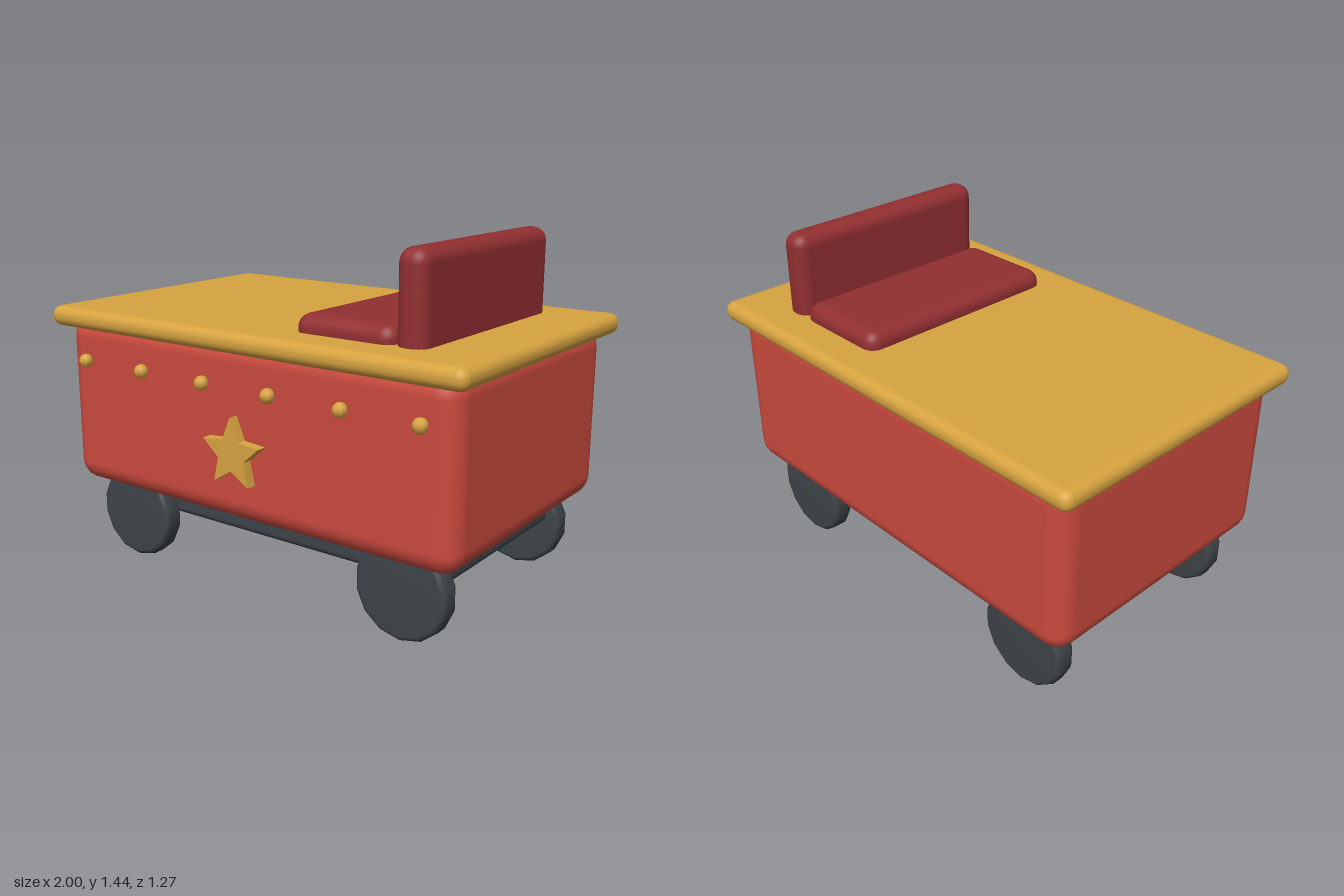
import * as THREE from 'three';
import { RoundedBoxGeometry } from 'three/addons/geometries/RoundedBoxGeometry.js';

function makeMaterial(name, color) {
  const m = new THREE.MeshStandardMaterial({ color });
  m.name = name;
  return m;
}

export function createModel() {
  const red = makeMaterial('red paint', 0xcb4a3e);
  const gold = makeMaterial('gold', 0xd7a340);
  const maroon = makeMaterial('maroon upholstery', 0x922f31);
  const dark = makeMaterial('dark metal', 0x3e4449);

  const model = new THREE.Group();
  model.name = 'wagon';

  const add = (name, geometry, material, x = 0, y = 0, z = 0) => {
    const mesh = new THREE.Mesh(geometry, material);
    mesh.name = name;
    mesh.position.set(x, y, z);
    model.add(mesh);
    return mesh;
  };

  // Rounded box given by its lower and upper limits; centred on z
  const addBox = (name, material, x0, x1, y0, y1, depth, radius, segments = 3) =>
    add(name, new RoundedBoxGeometry(x1 - x0, y1 - y0, depth, segments, radius), material,
      (x0 + x1) / 2, (y0 + y1) / 2, 0);

  // Undercarriage, body and deck
  addBox('chassis', dark, -0.82, 0.82, 0.215, 0.4, 0.86, 0.03);
  addBox('body', red, -0.95, 0.95, 0.325, 1.05, 1.18, 0.09);
  addBox('deck', gold, -1, 1, 1.005, 1.09, 1.27, 0.04);

  // Bench
  addBox('seatCushion', maroon, 0.18, 0.62, 1.04, 1.16, 0.95, 0.055);
  addBox('seatBack', maroon, 0.62, 0.745, 1.04, 1.435, 0.955, 0.055);

  // Wheels: fourteen-sided discs with softened rims
  const profile = [
    [0, -0.045], [0.178, -0.045], [0.192, -0.038], [0.2, -0.024],
    [0.2, 0.024], [0.192, 0.038], [0.178, 0.045], [0, 0.045],
  ].map(([r, h]) => new THREE.Vector2(r, h));
  const wheelGeometry = new THREE.LatheGeometry(profile, 14).rotateX(Math.PI / 2);
  for (const x of [-0.68, 0.68]) {
    for (const z of [-0.457, 0.457]) {
      add((z > 0 ? 'front' : 'back') + (x > 0 ? 'Left' : 'Right') + 'Wheel',
        wheelGeometry, dark, x, 0.2, z);
    }
  }

  // Row of studs along the front panel
  const studGeometry = new THREE.SphereGeometry(0.03, 8, 6);
  for (let i = 0; i < 6; i++) {
    add('stud' + (i + 1), studGeometry, gold, -0.82 + i * 0.328, 0.87, 0.605);
  }

  // Five-pointed star on the front panel
  const points = [];
  for (let i = 0; i < 10; i++) {
    const r = i % 2 ? 0.066 : 0.145;
    const a = Math.PI / 2 + (i * Math.PI) / 5;
    points.push(new THREE.Vector2(r * Math.cos(a), r * Math.sin(a)));
  }
  const starGeometry = new THREE.ExtrudeGeometry(new THREE.Shape(points),
    { depth: 0.05, bevelEnabled: false });
  add('star', starGeometry, gold, 0, 0.62, 0.582);

  return model;
}
